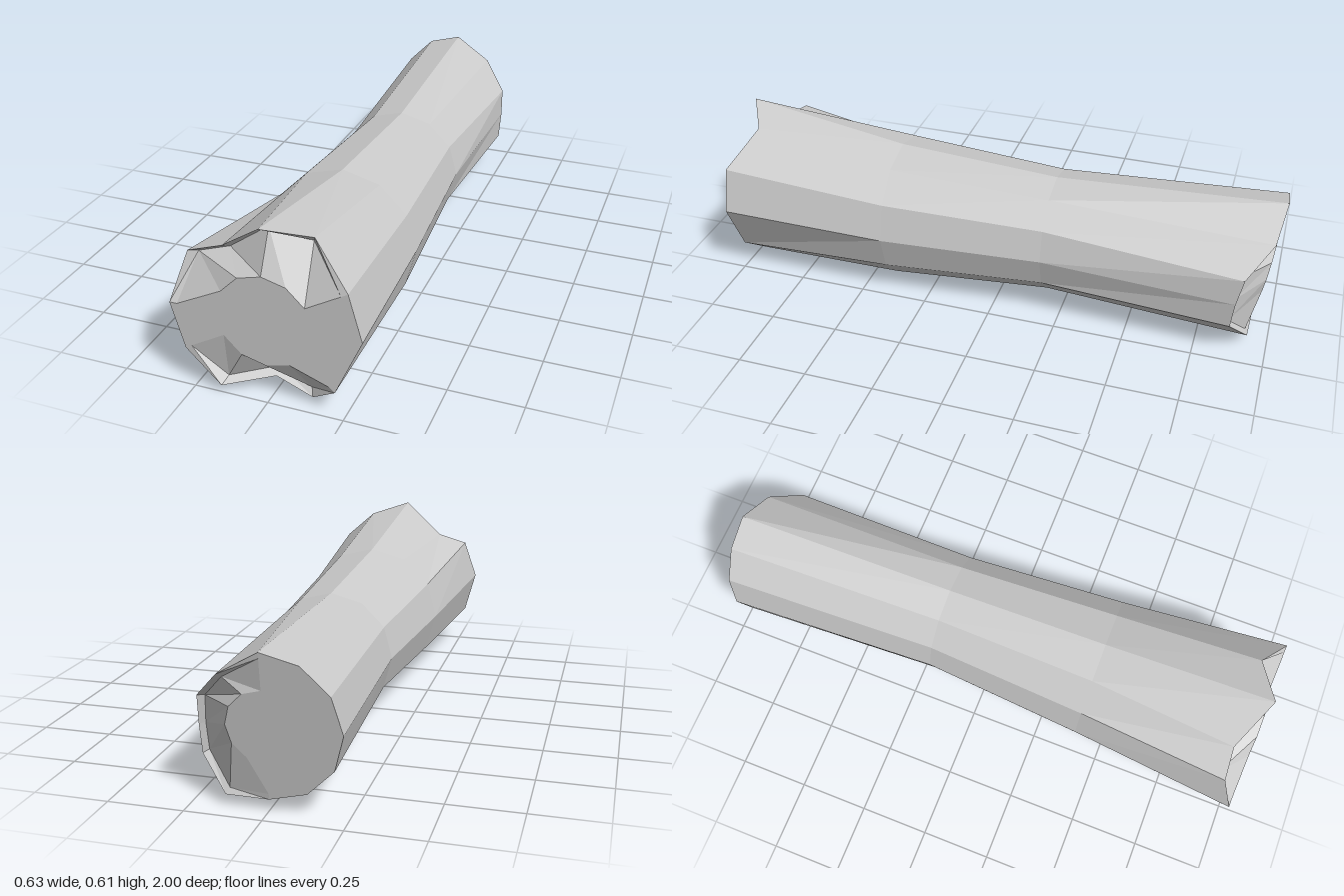
import * as THREE from 'three';

const SIDES = 12;

// One cross-section: a regular 12-gon, with single corners (by index, 30 degrees apart) moved
function ring(cx, cy, r, zAt, moved = {}) {
  return Array.from({ length: SIDES }, (_, j) => {
    if (moved[j]) return new THREE.Vector3(...moved[j]);
    const a = (j / SIDES) * Math.PI * 2;
    const x = cx + r * Math.cos(a), y = cy + r * Math.sin(a);
    return new THREE.Vector3(x, y, zAt(y));
  });
}

// Shrinks a rim towards the centre of its cut; corners listed in "depth" get their own z
function inset(rim, centre, k, zAt, depth = {}) {
  return rim.map((p, j) => {
    const q = p.clone().lerp(centre, 1 - k);
    q.z = depth[j] ?? zAt(q.y);
    return q;
  });
}

// Joins consecutive cross-sections with faceted quads
function loft(name, rings) {
  const pos = [];
  const tri = (...pts) => pts.forEach((p) => pos.push(p.x, p.y, p.z));
  for (let i = 0; i < rings.length - 1; i++) {
    for (let j = 0; j < SIDES; j++) {
      const n = (j + 1) % SIDES;
      const a = rings[i][j], b = rings[i][n], c = rings[i + 1][n], d = rings[i + 1][j];
      if (!a.equals(d)) tri(a, d, c);
      if (!a.equals(b)) tri(a, c, b);
    }
  }
  const geo = new THREE.BufferGeometry();
  geo.setAttribute('position', new THREE.Float32BufferAttribute(pos, 3));
  geo.computeVertexNormals();
  const mesh = new THREE.Mesh(geo, new THREE.MeshStandardMaterial({ color: 0xcccccc, flatShading: true }));
  mesh.name = name;
  return mesh;
}

export function createModel() {
  const group = new THREE.Group();
  group.name = 'log';
  const frontZ = () => 1;
  const backZ = (y) => -1 + (0.525 - y) * 0.14; // the back cut leans

  // Chipped rims at both ends
  const frontRim = ring(0, 0.3, 0.315, frontZ, {
    2: [0.14, 0.573, 0.92],
    4: [-0.16, 0.492, 0.93],
    5: [-0.273, 0.458, 0.94],
    9: [0, 0.055, 0.93],
    10: [0.13, 0.022, 0.95],
    11: [0.225, 0.1, 1],
  });
  const backRim = ring(0, 0.282, 0.242, backZ, {
    0: [0.24, 0.24, -0.88],
    1: [0.235, 0.34, -0.9],
    2: [0.14, 0.44, -0.98],
    10: [0.14, 0.04, -0.93],
    11: [0.235, 0.14, -0.87],
  });

  // Trunk with a slight waist
  group.add(loft('bark', [
    frontRim,
    ring(0.015, 0.265, 0.262, () => 0.4),
    ring(0.018, 0.27, 0.222, () => -0.19, { 8: [-0.09, 0.08, -0.19], 9: [0.018, 0.075, -0.19], 10: [0.129, 0.078, -0.19] }),
    backRim,
  ]));

  // Front cut: flat middle, outer band broken away at the top and bottom
  const fc = new THREE.Vector3(0, 0.3, 1);
  const frontMid = ring(0, 0.3, 0.157, frontZ);
  frontMid.forEach((p) => { p.z = 1; });
  group.add(loft('frontCut', [
    Array(SIDES).fill(fc),
    frontMid,
    inset(frontRim, fc, 0.92, frontZ, { 2: 0.9, 3: 0.93, 4: 0.9, 5: 0.91, 8: 0.97, 9: 0.9, 10: 0.93 }),
    frontRim,
  ]));

  // Back cut: leaning face with a chip out of one side
  const bc = new THREE.Vector3(0, 0.282, backZ(0.282));
  group.add(loft('backCut', [
    backRim,
    inset(backRim, bc, 0.92, backZ, { 0: -0.87, 1: -0.88, 2: -0.96, 10: -0.92, 11: -0.86 }),
    ring(0, 0.282, 0.121, backZ),
    Array(SIDES).fill(bc),
  ]));

  return group;
}
